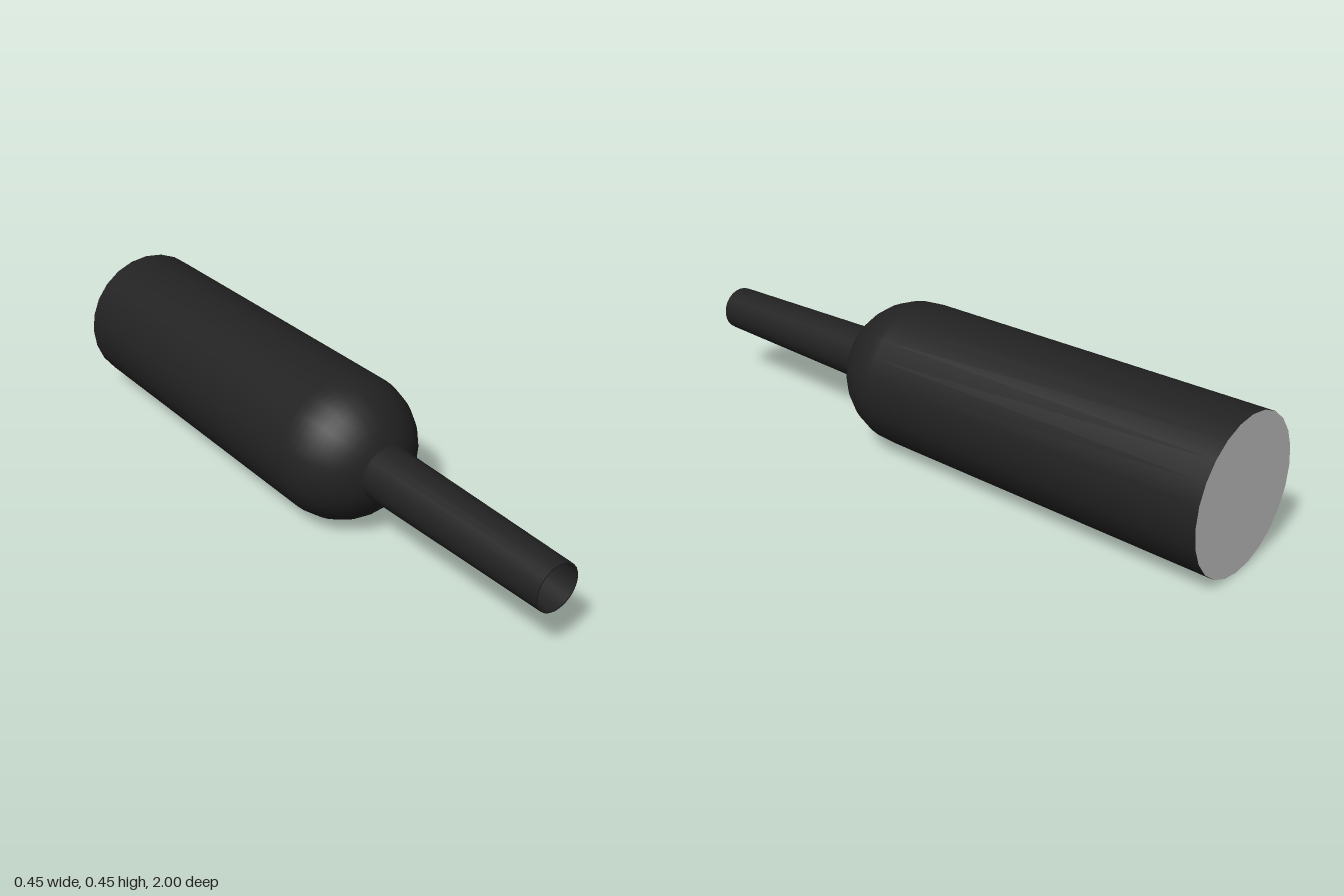
import * as THREE from 'three';

const SIDES = 24;
const RADIUS = 0.225;

export function createModel() {
  const model = new THREE.Group();
  model.name = 'nozzleCartridge';

  const black = new THREE.MeshStandardMaterial({ color: 0x222222, side: THREE.DoubleSide });
  const grey = new THREE.MeshStandardMaterial({ color: 0xcccccc, side: THREE.DoubleSide });

  // Everything is turned about one axis along z, at the height of the radius
  const add = (name, geometry, material) => {
    const mesh = new THREE.Mesh(geometry, material);
    mesh.name = name;
    mesh.position.y = RADIUS;
    model.add(mesh);
    return mesh;
  };
  const turned = (name, profile) => {
    const points = profile.map(([r, z]) => new THREE.Vector2(r, z));
    return add(name, new THREE.LatheGeometry(points, SIDES).rotateX(Math.PI / 2), black);
  };
  const disc = (name, radius, z) => {
    const mesh = add(name, new THREE.CircleGeometry(radius, SIDES), grey);
    mesh.position.z = z;
    return mesh;
  };

  // Straight body with a round shoulder, cut off where the tube leaves it
  const shoulderStart = 0.13;
  const shoulderEnd = Math.acos(0.084 / RADIUS);
  const bodyProfile = [[RADIUS, -1]];
  for (let i = 0; i <= 10; i++) {
    const a = (shoulderEnd * i) / 10;
    bodyProfile.push([RADIUS * Math.cos(a), shoulderStart + RADIUS * Math.sin(a)]);
  }
  turned('body', bodyProfile);

  // Flat rear end
  disc('rearCap', RADIUS, -1).rotation.y = Math.PI;

  // Tapered hollow tube: outer wall, thin rim and inner bore
  turned('tubeOuter', [[0.084, 0.335], [0.071, 1]]);
  turned('tubeRim', [[0.071, 1], [0.067, 1]]);
  turned('tubeBore', [[0.067, 1], [0.056, 0.335]]);

  // Grey floor at the bottom of the bore
  disc('boreFloor', 0.056, 0.335);

  return model;
}
